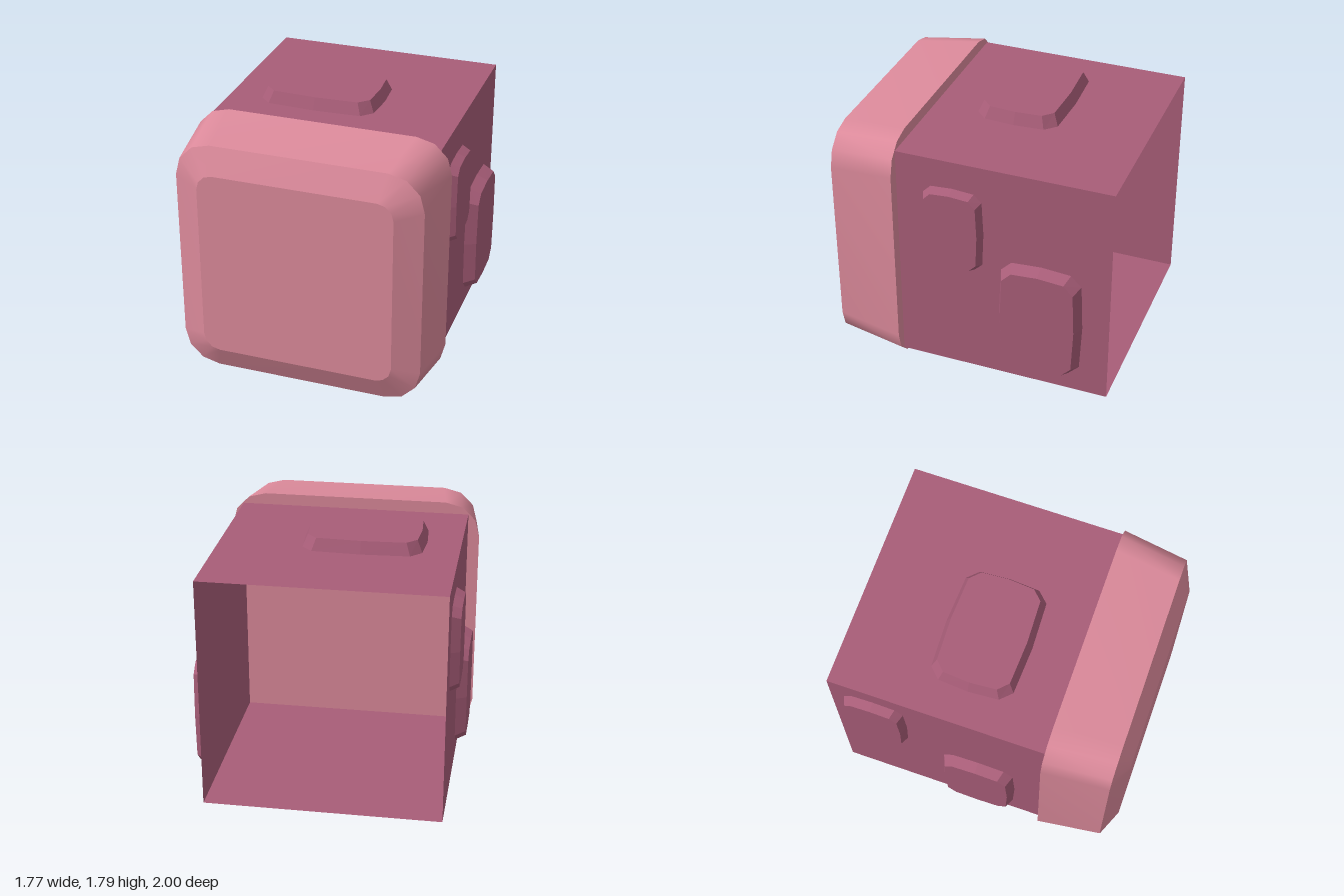
import * as THREE from 'three';

// Mirror a first-quadrant outline into a full counter-clockwise ring at height z.
function ring(quad, z) {
  const back = [...quad].reverse();
  const all = [
    ...quad,
    ...back.map(([x, y]) => [-x, y]),
    ...quad.map(([x, y]) => [-x, -y]),
    ...back.map(([x, y]) => [x, -y]),
  ];
  return all
    .filter(([x, y], i) => {
      const [px, py] = all[(i + all.length - 1) % all.length];
      return Math.hypot(x - px, y - py) > 1e-6;
    })
    .map(([x, y]) => new THREE.Vector3(x, y, z));
}

// Wall between two rings, smooth or faceted.
function band(a, b, smooth) {
  const n = a.length, index = [];
  for (let i = 0; i < n; i++) {
    const j = (i + 1) % n;
    index.push(i, j, n + j, i, n + j, n + i);
  }
  let g = new THREE.BufferGeometry().setFromPoints([...a, ...b]);
  g.setIndex(index);
  if (!smooth) g = g.toNonIndexed();
  g.computeVertexNormals();
  return g;
}

// Flat polygon closing a ring, facing +z or -z.
function lid(r, flip = false) {
  const index = [];
  for (let i = 1; i < r.length - 1; i++) {
    if (flip) index.push(0, i + 1, i);
    else index.push(0, i, i + 1);
  }
  const g = new THREE.BufferGeometry().setFromPoints(r);
  g.setIndex(index);
  g.computeVertexNormals();
  return g;
}

// Rounded-square quadrant: half size and corner radius.
function roundedQuad(half, radius) {
  const s = half - radius, a = radius * 0.5, b = radius * 0.87;
  return [[half, s], [s + b, s + a], [s + a, s + b], [s, half]];
}

// Quadrant of a slightly bulging rectangle with cut corners.
function padQuad(hx, hy) {
  const long = [[1, 0], [0.965, 0.7], [0.79, 0.95], [0, 1]];
  const unit = hx > hy ? long : long.map(([l, s]) => [s, l]).reverse();
  return unit.map(([x, y]) => [x * hx, y * hy]);
}

export function createModel() {
  const model = new THREE.Group();
  const sleeveMat = new THREE.MeshStandardMaterial({ color: 0xa85d78, side: THREE.DoubleSide });
  sleeveMat.name = 'plum';
  const capMat = new THREE.MeshStandardMaterial({ color: 0xdc8a9b });
  capMat.name = 'pink';

  const add = (parent, geometry, material, name) => {
    const mesh = new THREE.Mesh(geometry, material);
    mesh.name = name;
    parent.add(mesh);
    return mesh;
  };

  // Square sleeve, open at the back
  const square = [[0.8, 0.8]];
  const sleeve = add(model, band(ring(square, -1), ring(square, 0.47), false), sleeveMat, 'sleeve');
  sleeve.position.set(-0.005, 0.9, 0);

  // Rounded cap with a bevelled front
  const cap = new THREE.Group();
  cap.name = 'cap';
  cap.position.set(-0.005, 0.9, 0);
  const rear = ring(roundedQuad(0.88, 0.24), 0.47);
  const shoulder = ring(roundedQuad(0.832, 0.24), 0.92);
  const front = ring(roundedQuad(0.657, 0.11), 1);
  add(cap, lid(rear, true), capMat, 'capBack');
  add(cap, band(rear, shoulder, true), capMat, 'capSide');
  add(cap, band(shoulder, front, true), capMat, 'capBevel');
  add(cap, lid(front), capMat, 'capFront');
  model.add(cap);

  // Raised pads: name, centre of base, half sizes across the face, turn about x and y
  const H = Math.PI / 2;
  const pads = [
    ['topPad', [-0.17, 1.71, -0.125], 0.41, 0.293, -H, 0],
    ['leftUpperPad', [0.803, 1.207, 0.077], 0.212, 0.303, 0, H],
    ['leftLowerPad', [0.803, 0.635, -0.53], 0.29, 0.415, 0, H],
    ['rightUpperPad', [-0.813, 1.28, -0.695], 0.215, 0.307, 0, -H],
    ['rightLowerPad', [-0.813, 0.625, 0.01], 0.26, 0.372, 0, -H],
    ['bottomFrontPad', [-0.275, 0.09, 0.09], 0.458, 0.32, H, 0],
    ['bottomRearPad', [0.3, 0.09, -0.565], 0.372, 0.26, H, 0],
  ];
  for (const [name, centre, hx, hy, rx, ry] of pads) {
    const size = Math.min(hx, hy), inset = size * 0.12;
    const base = ring(padQuad(hx, hy), 0);
    const top = ring(padQuad(hx - inset, hy - inset), size * 0.275);
    const pad = new THREE.Group();
    pad.name = name;
    pad.position.set(...centre);
    pad.rotation.set(rx, ry, 0);
    add(pad, band(base, top, false), sleeveMat, name + 'Edge');
    add(pad, lid(top), sleeveMat, name + 'Face');
    model.add(pad);
  }
  return model;
}
